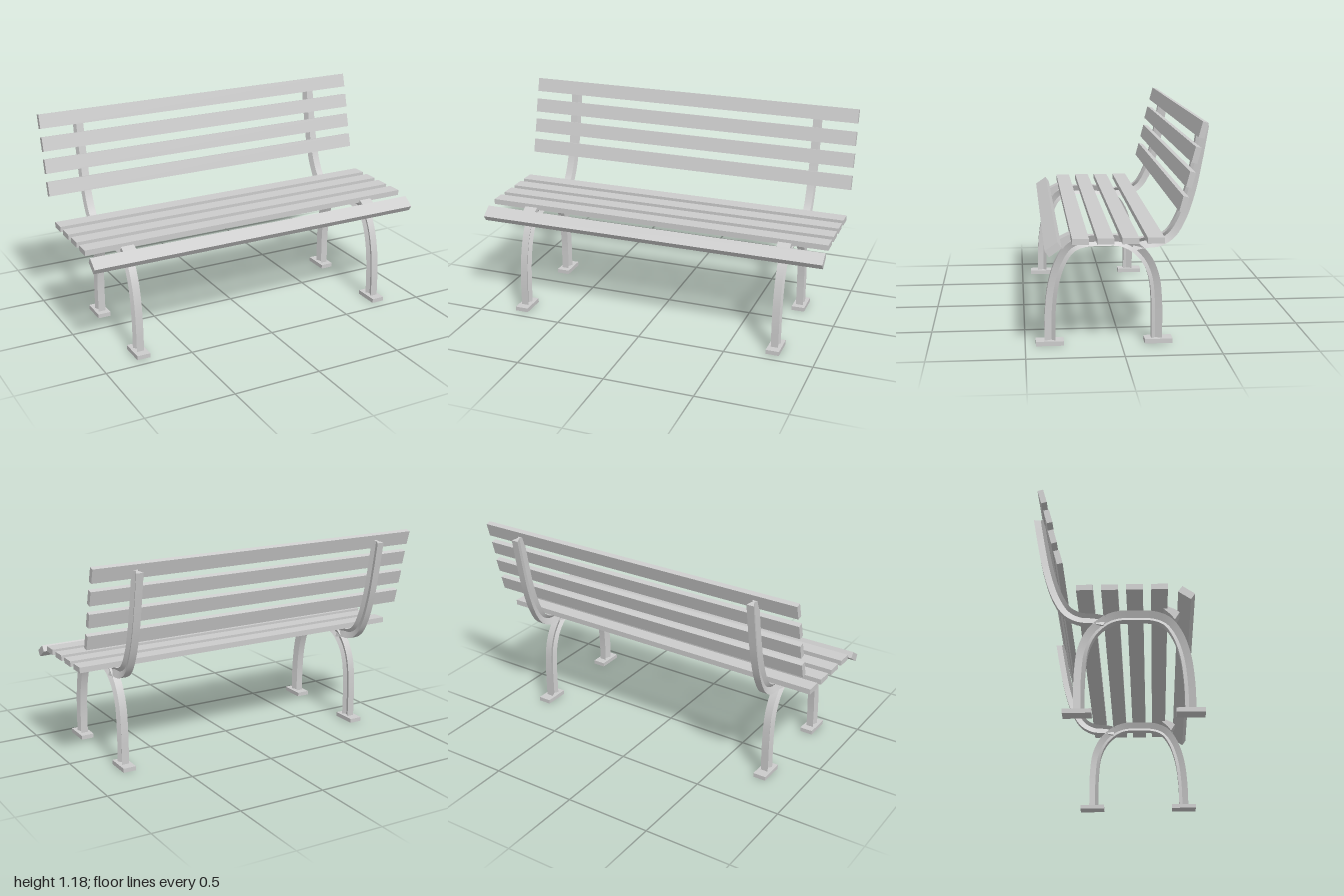
import * as THREE from 'three';
import { toCreasedNormals } from 'three/addons/utils/BufferGeometryUtils.js';

const material = new THREE.MeshStandardMaterial({ color: 0xcccccc });

// Bar section with a V groove along both sides: [across, outward]
const W = 0.021, N = 0.005;
const SECTION = [[-W, 0.028], [W, 0.028], [N, -0.008], [W, -0.028], [-W, -0.028], [-N, -0.008]];

// Sweep the grooved section along a path of [z, y] points
function groovedBar(path, steps) {
  const curve = new THREE.CatmullRomCurve3(path.map(([z, y]) => new THREE.Vector3(0, y, z)));
  const pos = [], index = [], n = SECTION.length;
  for (let k = 0; k <= steps; k++) {
    const c = curve.getPointAt(k / steps), t = curve.getTangentAt(k / steps);
    for (const [u, v] of SECTION) pos.push(u, c.y - t.z * v, c.z + t.y * v);
  }
  for (let k = 0; k < steps; k++) {
    for (let i = 0; i < n; i++) {
      const j = (i + 1) % n, a = k * n + i, b = k * n + j;
      index.push(a, b, b + n, a, b + n, a + n);
    }
  }
  // end caps
  const e = steps * n;
  for (const [a, b, c] of [[0, 1, 2], [0, 2, 5], [5, 2, 3], [5, 3, 4]]) {
    index.push(a, c, b, e + a, e + b, e + c);
  }
  const g = new THREE.BufferGeometry();
  g.setAttribute('position', new THREE.Float32BufferAttribute(pos, 3));
  g.setIndex(index);
  return toCreasedNormals(g, 0.5);
}

function add(parent, name, geometry, x = 0, y = 0, z = 0, tilt = 0) {
  const mesh = new THREE.Mesh(geometry, material);
  mesh.name = name;
  mesh.position.set(x, y, z);
  mesh.rotation.x = tilt;
  parent.add(mesh);
  return mesh;
}

export function createModel() {
  const bench = new THREE.Group();
  bench.name = 'bench';

  // Arched legs, running from front foot over the seat to rear foot
  const arch = groovedBar([
    [0.372, 0.015], [0.369, 0.17], [0.352, 0.32], [0.314, 0.44], [0.262, 0.515], [0.19, 0.546],
    [0.1, 0.55], [0.01, 0.548], [-0.06, 0.52], [-0.127, 0.455], [-0.17, 0.36], [-0.186, 0.22], [-0.187, 0.015],
  ], 56);

  // Back support, from the top down into the arch
  const support = groovedBar([
    [-0.418, 1.143], [-0.39, 0.98], [-0.355, 0.81], [-0.307, 0.665], [-0.253, 0.578],
    [-0.19, 0.542], [-0.12, 0.535], [-0.06, 0.522],
  ], 40);

  // Wedge bracket carrying the tilted front slat, drawn in z and y
  const wedge = new THREE.Shape(
    [[0.33, 0.56], [0.255, 0.597], [0.245, 0.577], [0.28, 0.545], [0.302, 0.515]]
      .map(([z, y]) => new THREE.Vector2(-z, y)));
  const bracket = new THREE.ExtrudeGeometry(wedge, { depth: 0.075, bevelEnabled: false });
  bracket.translate(0, 0, -0.0375).rotateY(Math.PI / 2);

  const foot = new THREE.BoxGeometry(0.075, 0.024, 0.146);

  for (const [side, x] of [['left', 0.76], ['right', -0.76]]) {
    const frame = new THREE.Group();
    frame.name = side + 'Frame';
    frame.position.x = x;
    add(frame, 'legArch', arch);
    add(frame, 'backSupport', support);
    add(frame, 'slatBracket', bracket);
    add(frame, 'frontFoot', foot, 0, 0.012, 0.372);
    add(frame, 'rearFoot', foot, 0, 0.012, -0.196);
    bench.add(frame);
  }

  // Seat slats
  const seatSlat = new THREE.BoxGeometry(2, 0.031, 0.084);
  for (const z of [0.223, 0.098, -0.027, -0.153]) add(bench, 'seatSlat', seatSlat, 0, 0.595, z);
  add(bench, 'frontSlat', new THREE.BoxGeometry(2, 0.038, 0.077), 0, 0.558, 0.358, 0.61);

  // Backrest slats
  const backSlat = new THREE.BoxGeometry(2, 0.08, 0.03);
  for (const [y, z, tilt] of [[0.774, -0.29, 0.26], [0.897, -0.322, 0.26], [1.019, -0.348, 0.26], [1.142, -0.381, 0.27]]) {
    add(bench, 'backSlat', backSlat, 0, y, z, -tilt);
  }
  return bench;
}
